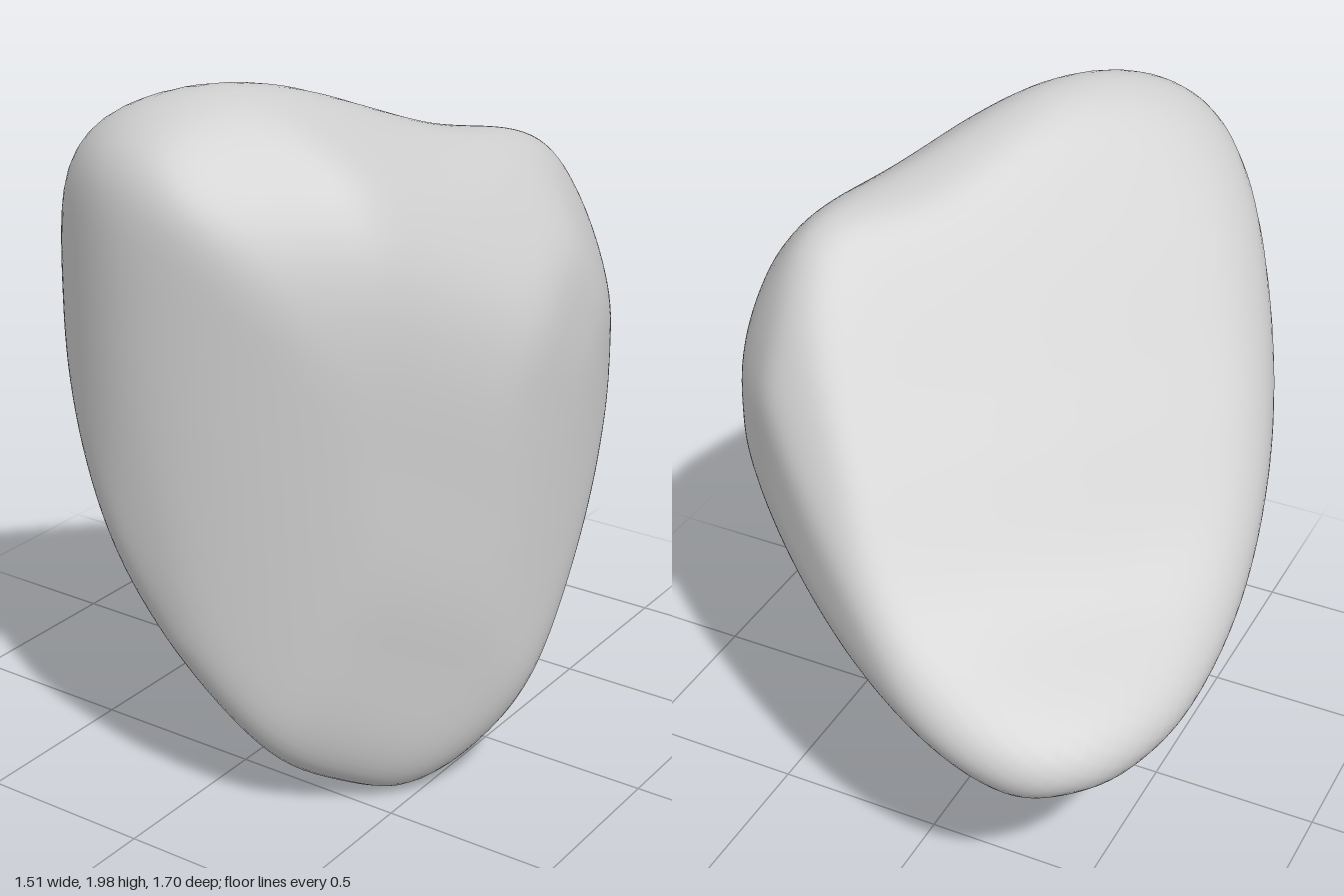
import * as THREE from 'three';
import { mergeVertices } from 'three/addons/utils/BufferGeometryUtils.js';

// A smooth closed outline, with the two axes of the plane it lies in.
// Turn and tilt aim the cut; points are across and up from the stone's middle.
function outline(turn, tilt, points) {
  const a = THREE.MathUtils.degToRad(turn), e = THREE.MathUtils.degToRad(tilt);
  const curve = new THREE.CatmullRomCurve3(points.map(([x, y]) => new THREE.Vector3(x, y, 0)), true);
  return {
    across: new THREE.Vector3(Math.cos(a), 0, -Math.sin(a)),
    up: new THREE.Vector3(-Math.sin(a) * Math.sin(e), Math.cos(e), -Math.cos(a) * Math.sin(e)),
    edge: curve.getPoints(64)
  };
}

const outlines = [
  // across the width: leaning left edge, foot to the right
  outline(0, 0, [[-.76, -.28], [-.56, .49], [-.42, .81], [-.14, 1], [.6, .7], [.755, .1],
    [.72, -.7], [.42, -1.03], [.2, -.92], [-.64, -.52]]),
  // across the depth: upright front, tail at the back
  outline(90, 0, [[-.85, .1], [-.8, .86], [-.55, 1], [0, .79], [.27, .74], [.58, .25],
    [.85, -.38], [.74, -.55], [-.48, -1.03], [-.75, -.75]]),
  // plan
  outline(0, 90, [[-.765, .2], [-.62, .72], [-.28, .85], [.3, .63], [.7, .27], [.71, -.22],
    [.36, -.68], [-.12, -.85], [-.57, -.53]]),
  // shield-shaped wall with a saddle on top
  outline(35, 25, [[-.77, .2], [-.68, .65], [-.27, .77], [.2, .685], [.5, .68], [.74, .15],
    [.51, -.86], [.03, -1.17], [-.55, -.61]]),
  // sloping back
  outline(215, 25, [[.77, .2], [.67, .93], [.31, 1.08], [-.25, .84], [-.56, .68], [-.74, .2],
    [-.46, -.53], [0, -.87], [.5, -.54]]),
  // flank, from below
  outline(145, -25, [[-.72, -.1], [-.65, .51], [-.19, .89], [.04, .69], [.54, .11], [.92, -.24],
    [.78, -.46], [-.6, -.96], [-.71, -.5]]),
  // wedge profile: steep wall, hollow slope, keel underneath
  outline(-45, 0, [[.75, 0], [.71, .52], [.6, .76], [.34, 1], [.12, .76], [-.25, .27],
    [-.6, -.15], [-.95, -.38], [-.88, -.5], [.6, -1.02], [.71, -.8]])
];

// Distance from the middle to the nearest outline along a direction
function reach(dir) {
  let best = 3;
  for (const { across, up, edge } of outlines) {
    const dx = dir.dot(across), dy = dir.dot(up);
    for (let i = 0; i + 1 < edge.length; i++) {
      const p = edge[i], q = edge[i + 1], ex = q.x - p.x, ey = q.y - p.y;
      const den = dx * ey - dy * ex;
      if (Math.abs(den) < 1e-9) continue;
      const t = (p.x * ey - p.y * ex) / den, s = (p.x * dy - p.y * dx) / den;
      if (t > 0 && s >= -1e-6 && s <= 1 + 1e-6) best = Math.min(best, t);
    }
  }
  return best;
}

// Wear down the ridges by averaging each vertex with its neighbours
function wear(geometry, rounds) {
  const pos = geometry.attributes.position, idx = geometry.index.array;
  const near = Array.from({ length: pos.count }, () => new Set());
  for (let i = 0; i < idx.length; i += 3)
    for (let k = 0; k < 3; k++) {
      const a = idx[i + k], b = idx[i + (k + 1) % 3];
      near[a].add(b);
      near[b].add(a);
    }
  for (let r = 0; r < rounds; r++) {
    const old = pos.array.slice();
    for (let i = 0; i < pos.count; i++)
      for (let c = 0; c < 3; c++) {
        let sum = 0;
        for (const j of near[i]) sum += old[j * 3 + c];
        pos.array[i * 3 + c] = 0.4 * old[i * 3 + c] + 0.6 * sum / near[i].size;
      }
  }
}

export function createModel() {
  const group = new THREE.Group();
  group.name = 'rock';

  // Carve a fine ball into a three-sided wedge of stone
  const ball = new THREE.IcosahedronGeometry(1, 36);
  ball.deleteAttribute('normal');
  ball.deleteAttribute('uv');
  const geometry = mergeVertices(ball, 1e-4);
  const pos = geometry.attributes.position, v = new THREE.Vector3();
  for (let i = 0; i < pos.count; i++) {
    v.fromBufferAttribute(pos, i).normalize();
    v.multiplyScalar(reach(v) + 0.01);
    pos.setXYZ(i, v.x, v.y, v.z);
  }
  wear(geometry, 10);

  // Stand it on the ground
  geometry.computeBoundingBox();
  geometry.translate(0, -geometry.boundingBox.min.y, 0);
  geometry.computeVertexNormals();

  const stone = new THREE.Mesh(geometry, new THREE.MeshStandardMaterial({ color: 0xcccccc }));
  stone.name = 'stone';
  group.add(stone);
  return group;
}
